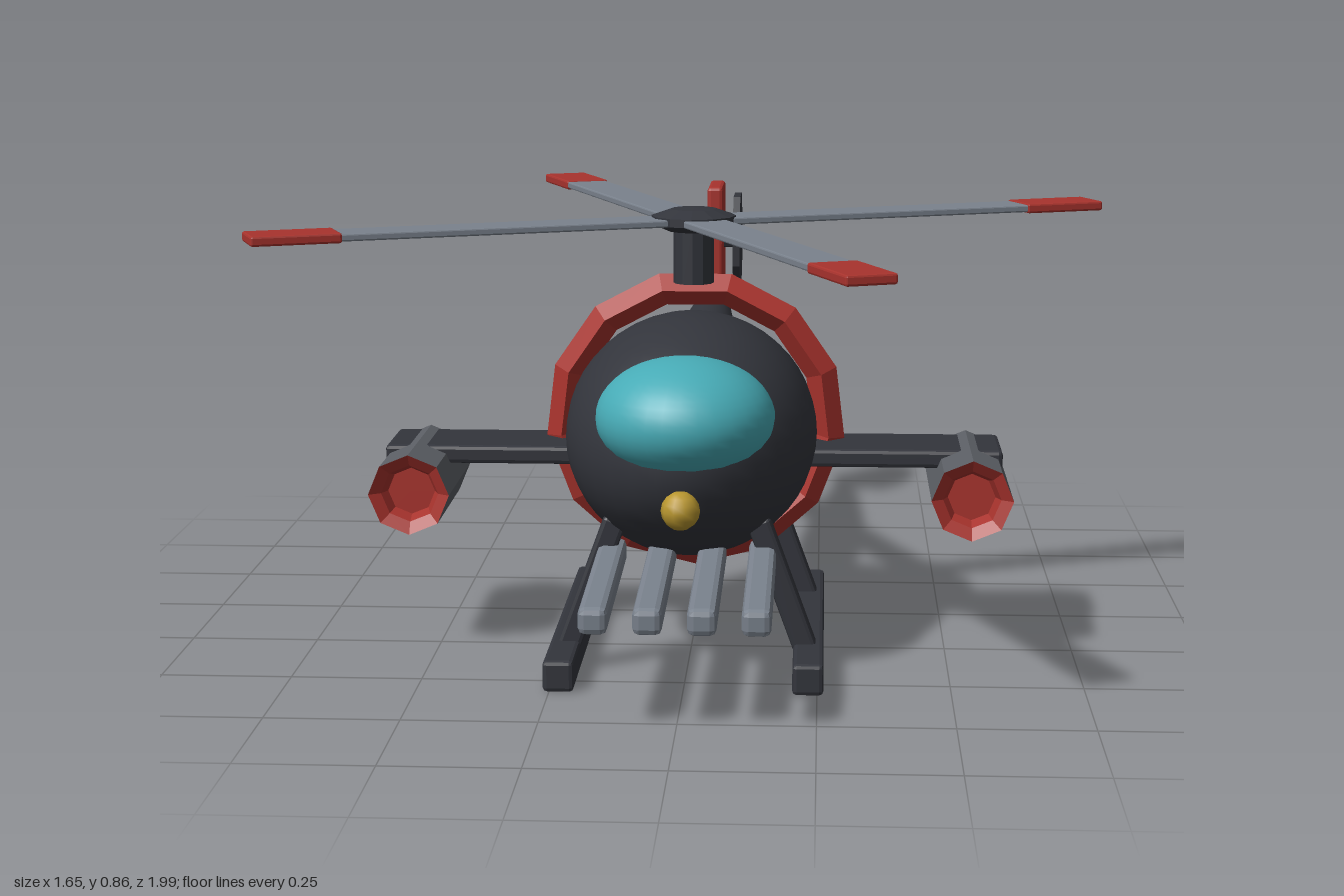
import * as THREE from 'three';
import { RoundedBoxGeometry } from 'three/addons/geometries/RoundedBoxGeometry.js';

const mat = (color, flatShading = false) => new THREE.MeshStandardMaterial({ color, flatShading });
const DARK = 0x33353c, GREY = 0x7a828d, POD = 0x5c5f65, RED = 0xa8332d, TEAL = 0x47abb6, YELLOW = 0xb8962f;

export function createModel() {
  const model = new THREE.Group();

  const add = (name, geometry, color, [x, y, z], flat = false, parent = model) => {
    const mesh = new THREE.Mesh(geometry, mat(color, flat));
    mesh.name = name;
    mesh.position.set(x, y, z);
    parent.add(mesh);
    return mesh;
  };
  const box = (w, h, d, r = 0.008) => new RoundedBoxGeometry(w, h, d, 1, r);
  const ellipsoid = (rx, ry, rz) => new THREE.SphereGeometry(1, 32, 24).scale(rx, ry, rz);
  const lathe = (points, sides) =>
    new THREE.LatheGeometry(points.map(([r, y]) => new THREE.Vector2(r, y)), sides);

  // Fuselage, canopy and nose light
  add('fuselage', ellipsoid(0.245, 0.233, 0.362), DARK, [0, 0.432, 0.237]);
  add('canopy', ellipsoid(0.168, 0.115, 0.175), TEAL, [0, 0.505, 0.465]);
  add('noseLight', new THREE.SphereGeometry(0.036, 10, 8), YELLOW, [0, 0.365, 0.632]);

  // Faceted hoop around the fuselage
  const hoop = add('hoop', new THREE.TorusGeometry(0.27, 0.032, 4, 13), RED, [0, 0.43, 0.098], true);
  hoop.rotation.z = -Math.PI / 2;

  // Tail boom, swelling then tapering towards the fin
  const boom = add('tailBoom', lathe([
    [0, 0], [0.046, 0], [0.058, 0.03], [0.066, 0.12], [0.066, 0.24],
    [0.056, 0.4], [0.042, 0.55], [0.028, 0.69], [0, 0.7],
  ], 20), DARK, [0, 0.478, -0.11]);
  boom.rotation.x = -Math.PI / 2 + 0.105;

  // Tail fin and tail rotor disc on the left side
  add('tailFin', box(0.036, 0.265, 0.17), RED, [0, 0.667, -0.885], true);
  const disc = add('tailRotor', new THREE.CylinderGeometry(0.12, 0.12, 0.016, 8), DARK, [0.05, 0.663, -0.885], true);
  disc.rotation.set(Math.PI / 8, 0, Math.PI / 2, 'XYZ');
  const pin = add('tailRotorAxle', new THREE.CylinderGeometry(0.014, 0.014, 0.045, 8), DARK, [0.035, 0.663, -0.885], true);
  pin.rotation.z = Math.PI / 2;

  // Main rotor: mast, lens-shaped hub, four blades with coloured tips
  const rotor = new THREE.Group();
  rotor.name = 'mainRotor';
  rotor.position.set(0, 0, 0.165);
  model.add(rotor);
  add('mast', new THREE.CylinderGeometry(0.04, 0.04, 0.115, 12), DARK, [0, 0.773, 0], true, rotor);
  add('hub', lathe([[0, 0.814], [0.05, 0.818], [0.083, 0.832], [0.083, 0.848], [0.045, 0.861], [0, 0.864]], 12),
    DARK, [0, 0, 0], true, rotor);
  for (let i = 0; i < 4; i++) {
    const arm = new THREE.Group();
    arm.name = 'bladeArm';
    arm.rotation.y = Math.PI / 8 + i * Math.PI / 2;
    rotor.add(arm);
    add('blade', box(0.7, 0.014, 0.088, 0.003), GREY, [0.36, 0.838, 0], true, arm);
    add('bladeTip', box(0.17, 0.019, 0.094, 0.004), RED, [0.79, 0.838, 0], true, arm);
  }

  // Stub wings with rocket pods, skids and struts, mirrored
  for (const s of [1, -1]) {
    add('wing', box(0.46, 0.036, 0.17), DARK, [s * 0.38, 0.374, 0.128], true);

    const pod = add('pod', lathe([[0, 0], [0.066, 0], [0.079, 0.016], [0.079, 0.315]], 8),
      POD, [s * 0.545, 0.32, 0.025], true);
    pod.rotation.x = Math.PI / 2;
    const mouth = add('podMouth', lathe([[0.079, 0.315], [0.056, 0.3], [0.046, 0.275], [0, 0.275]], 8),
      RED, [s * 0.545, 0.32, 0.025], true);
    mouth.rotation.x = Math.PI / 2;

    add('skid', box(0.058, 0.06, 0.705), DARK, [s * 0.233, 0.03, 0.222], true);
    for (const z of [0.415, 0.032]) {
      const foot = new THREE.Vector3(s * 0.228, 0.045, z);
      const top = new THREE.Vector3(s * 0.135, 0.3, z);
      const span = top.clone().sub(foot);
      const strut = add('strut', box(0.045, span.length(), 0.044), DARK,
        foot.clone().add(top).multiplyScalar(0.5).toArray(), true);
      strut.quaternion.setFromUnitVectors(new THREE.Vector3(0, 1, 0), span.normalize());
    }
  }

  // Row of four gun barrels under the nose
  for (let i = 0; i < 4; i++) {
    const gun = add('gunBarrel', box(0.052, 0.05, 0.46, 0.012), GREY, [(i - 1.5) * 0.096, 0.218, 0.602], true);
    gun.rotation.x = 0.035;
  }

  return model;
}
